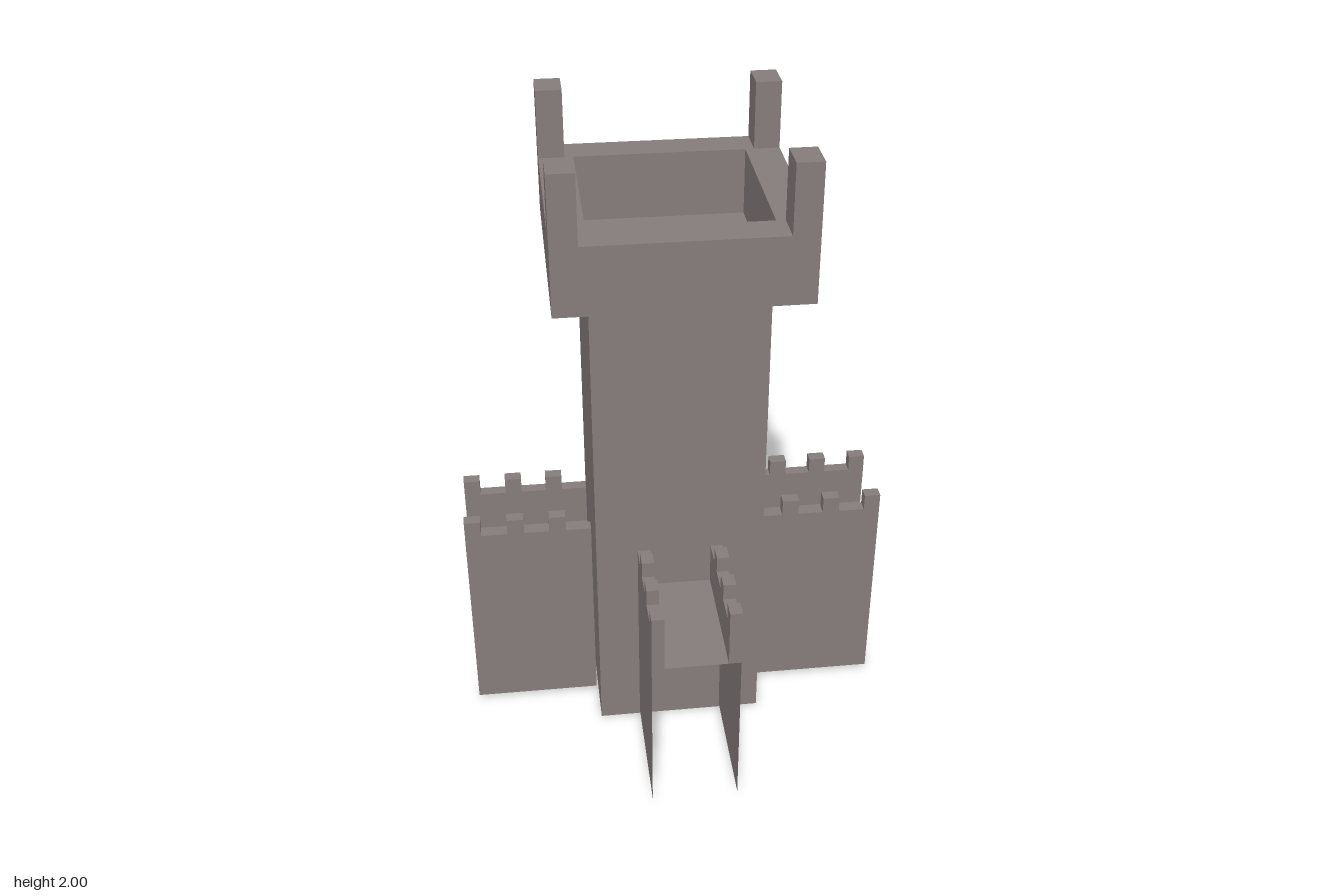
import * as THREE from 'three';

const stone = new THREE.MeshStandardMaterial({ color: 0x857d7b, side: THREE.DoubleSide });
stone.name = 'stone';

function add(parent, name, geometry, x = 0, y = 0, z = 0) {
  const mesh = new THREE.Mesh(geometry, stone);
  mesh.name = name;
  mesh.position.set(x, y, z);
  parent.add(mesh);
  return mesh;
}

const square = (P, h) => new P([
  new THREE.Vector2(-h, -h), new THREE.Vector2(h, -h),
  new THREE.Vector2(h, h), new THREE.Vector2(-h, h),
]);

// One wing along +x: two thin walls topped by battlements, with a walkway between
function createWing() {
  const wing = new THREE.Group();
  const inner = 0.27, outer = 0.67, half = 0.134, thick = 0.038;
  const bottom = 0.02, floor = 0.555, low = 0.69, high = 0.742;
  const mid = (inner + outer) / 2, length = outer - inner;

  // Battlement outline with three merlons
  const outline = new THREE.Shape();
  outline.moveTo(inner, floor);
  outline.lineTo(outer, floor);
  for (const [a, b] of [[0.619, outer], [0.483, 0.536], [0.35, 0.403]]) {
    if (b < outer) outline.lineTo(b, low);
    outline.lineTo(b, high);
    outline.lineTo(a, high);
    outline.lineTo(a, low);
  }
  outline.lineTo(inner, low);
  outline.closePath();
  const battlement = new THREE.ExtrudeGeometry(outline, { depth: thick, bevelEnabled: false });

  for (const side of [-1, 1]) {
    add(wing, 'battlement', battlement, 0, 0, side > 0 ? half - thick : -half);
    const wall = add(wing, 'wallPanel', new THREE.PlaneGeometry(length, floor - bottom),
      mid, (floor + bottom) / 2, side * half);
    if (side < 0) wall.rotation.y = Math.PI;
  }
  const walkway = add(wing, 'walkway',
    new THREE.PlaneGeometry(length, 2 * (half - thick)), mid, floor, 0);
  walkway.rotation.x = -Math.PI / 2;
  return wing;
}

export function createModel() {
  const model = new THREE.Group();
  model.name = 'castleTower';

  // Square shaft, whose top is the floor of the lookout
  add(model, 'towerShaft', new THREE.BoxGeometry(0.526, 1.58, 0.526), 0, 0.79, 0);

  // Overhanging hollow parapet
  const ring = square(THREE.Shape, 0.369);
  ring.holes.push(square(THREE.Path, 0.263));
  const parapet = new THREE.ExtrudeGeometry(ring, { depth: 0.21, bevelEnabled: false });
  parapet.rotateX(-Math.PI / 2);
  add(model, 'parapet', parapet, 0, 1.58, 0);

  // Corner posts
  for (const sx of [-1, 1]) {
    for (const sz of [-1, 1]) {
      add(model, 'cornerPost', new THREE.BoxGeometry(0.079, 0.21, 0.106),
        sx * 0.3295, 1.895, sz * 0.316);
    }
  }

  // Four wings around the base
  ['leftWing', 'backWing', 'rightWing', 'frontWing'].forEach((name, i) => {
    const wing = createWing();
    wing.name = name;
    wing.rotation.y = i * Math.PI / 2;
    model.add(wing);
  });

  return model;
}
